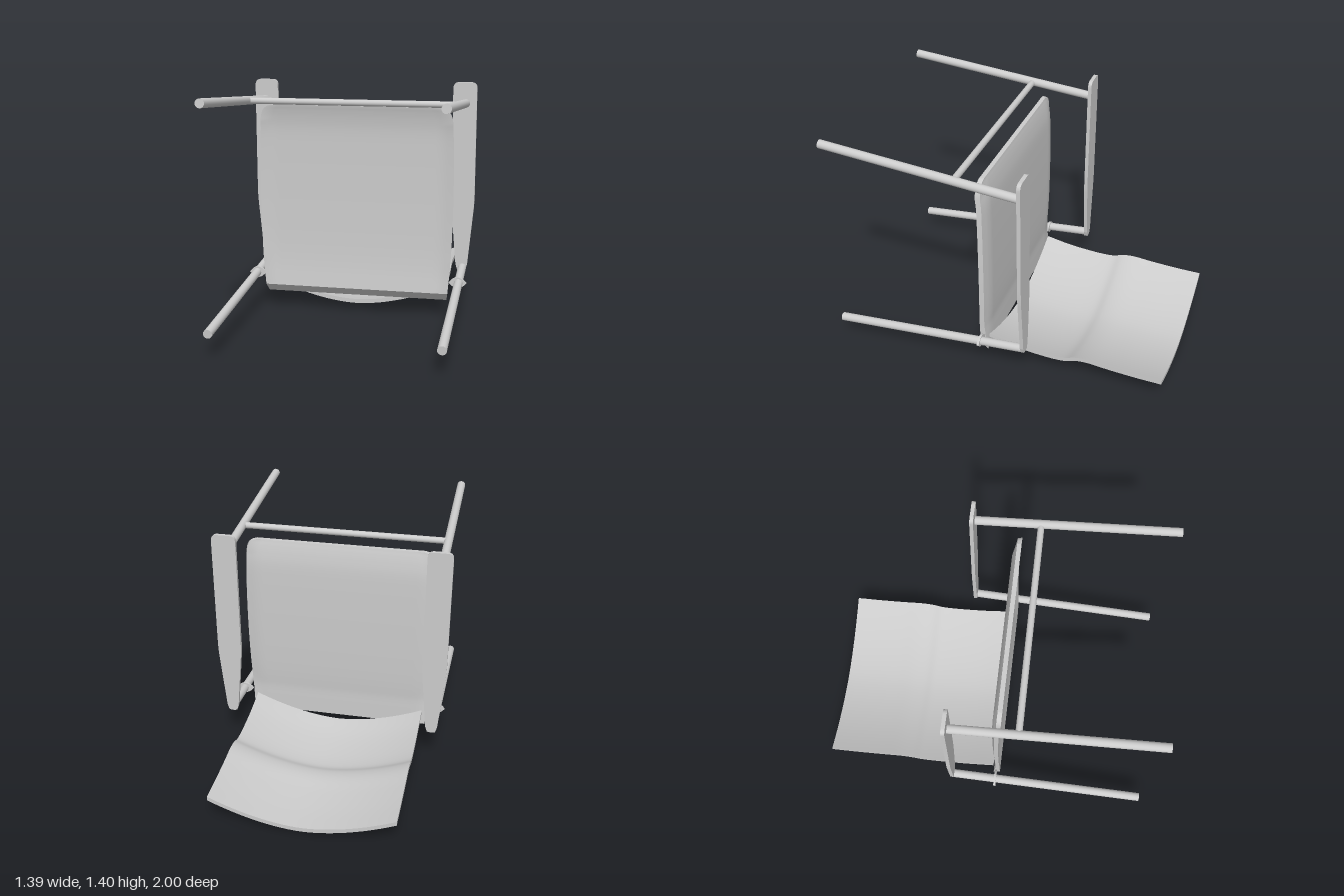
import * as THREE from 'three';

const mat = new THREE.MeshStandardMaterial({ color: 0xcccccc });
const V = (x, y, z) => new THREE.Vector3(x, y, z);

function add(parent, name, geo) {
  const mesh = new THREE.Mesh(geo, mat);
  mesh.name = name;
  parent.add(mesh);
  return mesh;
}

// Round bar between two points
function bar(parent, name, a, b, r) {
  const mesh = add(parent, name, new THREE.CylinderGeometry(r, r, a.distanceTo(b), 20));
  mesh.position.copy(a).add(b).multiplyScalar(0.5);
  mesh.quaternion.setFromUnitVectors(V(0, 1, 0), b.clone().sub(a).normalize());
  return mesh;
}

// Reshape a unit box, vertex by vertex; box faces keep their edges sharp
function bend(geo, rule) {
  const p = geo.attributes.position, v = V(0, 0, 0);
  for (let i = 0; i < p.count; i++) {
    v.fromBufferAttribute(p, i);
    const q = rule(v);
    p.setXYZ(i, q.x, q.y, q.z);
  }
  geo.computeVertexNormals();
  return geo;
}

// Profiles hold (half width, y, z)
const curve = rows => new THREE.CatmullRomCurve3(rows.map(r => V(...r)), false, 'centripetal');

export function createModel() {
  const chair = new THREE.Group();
  chair.name = 'recliningChair';

  // Seat: upright sheet with a rolled front edge and turned side rims
  const seatCurve = curve([
    [0.565, 0.16, 0.1], [0.575, 0.28, 0.086], [0.583, 0.42, 0.077], [0.589, 0.7, 0.071],
    [0.587, 1.0, 0.071], [0.582, 1.14, 0.075], [0.578, 1.21, 0.084],
    [0.565, 1.25, 0.092], [0.545, 1.27, 0.097], [0.51, 1.283, 0.1]]);
  add(chair, 'seat', bend(new THREE.BoxGeometry(1, 1, 1, 32, 48, 1), v => {
    const s = seatCurve.getPoint(THREE.MathUtils.clamp(v.y + 0.5, 0, 1));
    const t = 2 * v.x, low = Math.max(0, 1 - (s.y - 0.16) / 0.12);
    const rim = 0.018 * THREE.MathUtils.smoothstep(Math.abs(t), 0.88, 1)
      * THREE.MathUtils.clamp((0.1 - s.z) / 0.02, 0, 1);
    const back = v.z < 0;
    return V(t * s.x * (back ? 0.985 : 1), s.y - (back ? 0.05 * low : 0),
      s.z + rim - (back ? 0.026 + 0.016 * low : 0));
  }));

  // Backrest: long sheet, hollowed across its width
  const backCurve = curve([
    [0.535, 0.17, -1], [0.535, 0.173, -0.85], [0.535, 0.183, -0.68], [0.535, 0.194, -0.55],
    [0.535, 0.187, -0.48], [0.535, 0.167, -0.42], [0.535, 0.162, -0.36],
    [0.535, 0.166, -0.25], [0.535, 0.182, -0.1], [0.535, 0.212, 0.055]]);
  add(chair, 'backrest', bend(new THREE.BoxGeometry(1, 1, 1, 28, 1, 48), v => {
    const s = backCurve.getPoint(THREE.MathUtils.clamp(v.z + 0.5, 0, 1));
    const t = 2 * v.x;
    const sag = 0.132 * (1 - Math.pow(Math.abs(t), 1.8));
    return V(t * s.x, s.y - sag - (v.y < 0 ? 0.025 : 0), s.z);
  }));

  // Armrest outline: rounded at the front, tapering to the rear
  const arm = new THREE.Shape();
  arm.moveTo(-0.025, 0.235);
  arm.quadraticCurveTo(0, 0.225, 0.025, 0.235);
  arm.lineTo(0.036, 0.27);
  arm.lineTo(0.068, 0.62);
  arm.quadraticCurveTo(0.072, 0.67, 0.072, 0.72);
  arm.lineTo(0.072, 1.37);
  arm.quadraticCurveTo(0.072, 1.408, 0.036, 1.408);
  arm.lineTo(-0.036, 1.408);
  arm.quadraticCurveTo(-0.072, 1.408, -0.072, 1.37);
  arm.lineTo(-0.072, 0.72);
  arm.quadraticCurveTo(-0.072, 0.67, -0.068, 0.62);
  arm.lineTo(-0.036, 0.27);
  arm.closePath();

  // Lens-shaped hinge washer
  const lens = new THREE.Shape();
  lens.moveTo(-0.053, 0);
  lens.quadraticCurveTo(0, 0.068, 0.053, 0);
  lens.quadraticCurveTo(0, -0.068, -0.053, 0);

  for (const [side, s] of [['left', 1], ['right', -1]]) {
    const frame = new THREE.Group();
    frame.name = side + 'Frame';
    chair.add(frame);
    const x = 0.628 * s;
    bar(frame, 'frontLeg', V(x, 1.384, 0.998), V(x, 1.281, -0.187), 0.0255);
    bar(frame, 'rearLeg', V(x, 0.148, 0.998), V(x, 0.251, -0.187), 0.0255);
    const armrest = add(frame, 'armrest',
      new THREE.ExtrudeGeometry(arm, { depth: 0.022, bevelEnabled: false, curveSegments: 8 }));
    armrest.position.set(0.622 * s, 0, -0.206);
    const washer = add(frame, 'hingeWasher',
      new THREE.ExtrudeGeometry(lens, { depth: 0.014, bevelEnabled: false, curveSegments: 8 }));
    washer.position.set(0.623 * s, 0.229, 0.068);
  }

  // Stretcher between the front legs
  bar(chair, 'stretcher', V(-0.61, 1.314, 0.2), V(0.61, 1.314, 0.2), 0.019);

  return chair;
}
